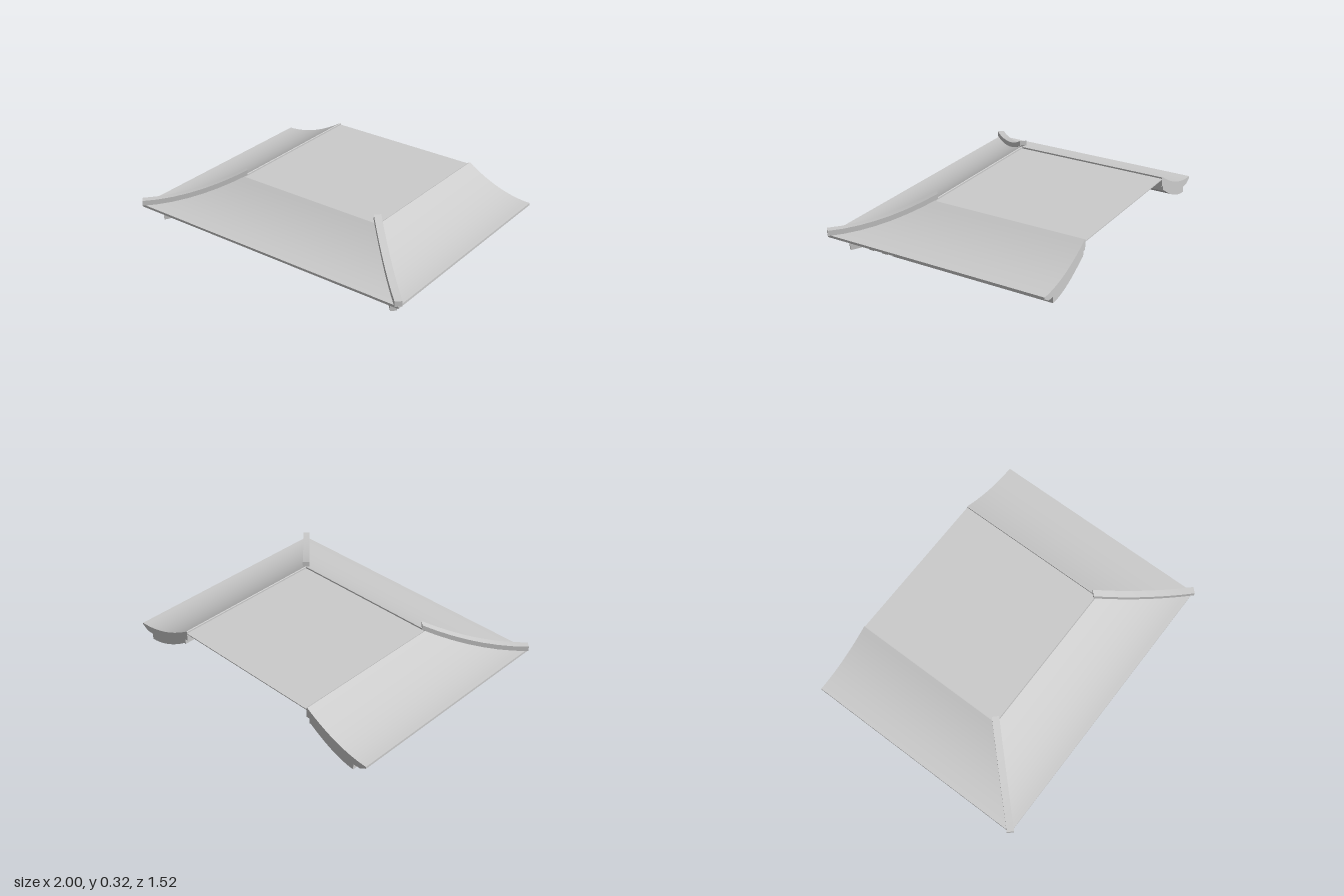
import * as THREE from 'three';
import { toCreasedNormals } from 'three/addons/utils/BufferGeometryUtils.js';

const X0 = 0.53, Z0 = 0.285, BACK = -0.763; // inner edges of the slopes, back cut
const EAVE = 0.455;                          // slope run, inner edge to eave

// heights as a function of d, the distance outward from the inner edge
const roofY = d => 0.11 + 0.158 * Math.pow(Math.max(0, EAVE - d) / EAVE, 1.9);
const bedY = d => 0.03 + 0.135 * Math.pow(Math.max(0, 0.36 - d) / 0.33, 1.7);
const hipBeamY = d => 0.235 * (0.365 - d);

const material = new THREE.MeshStandardMaterial({ color: 0xcccccc });

// points of a height curve between two distances
function curve(fn, from, to, n = 12, scale = 1) {
  const pts = [];
  for (let i = 0; i <= n; i++) {
    const d = from + (to - from) * i / n;
    pts.push(new THREE.Vector2(d * scale, fn(d)));
  }
  return pts;
}

function extrude(points, depth) {
  return new THREE.ExtrudeGeometry(new THREE.Shape(points), { depth, bevelEnabled: false });
}

function mesh(name, geometry) {
  const m = new THREE.Mesh(toCreasedNormals(geometry, 0.35), material);
  m.name = name;
  return m;
}

// one roof slope, its ends moved to start(d) and end(d) to make the mitres
function slope(name, start, end) {
  const v = (x, y) => new THREE.Vector2(x, y);
  const g = extrude([
    v(-0.006, 0.266),
    ...curve(roofY, 0, EAVE, 14),
    v(EAVE, 0.095), v(0.445, 0.093), v(0.41, 0.07),
    ...curve(d => bedY(d) + 0.04, 0.36, 0.03),
    // stepped frame around the ceiling
    v(0.03, 0.165), v(0.016, 0.165), v(0.016, 0.2), v(-0.006, 0.2),
  ], 1);
  const p = g.attributes.position;
  for (let i = 0; i < p.count; i++) {
    const d = p.getX(i);
    p.setZ(i, p.getZ(i) < 0.5 ? start(d) : end(d));
  }
  return mesh(name, g);
}

// curved rafter (or solid rafter bed) under a slope
function rafter(name, inner, width) {
  return mesh(name, extrude([
    ...curve(bedY, inner, 0.36),
    ...curve(d => bedY(d) + 0.05, 0.36, inner),
  ], width));
}

// piece following a hip, centred on the diagonal
function hipPiece(name, low, high, from, to, width) {
  const g = extrude([
    ...curve(low, from, to, 7, Math.SQRT2),
    ...curve(high, to, from, 7, Math.SQRT2),
  ], width);
  g.translate(0, 0, -width / 2);
  return mesh(name, g);
}

export function createModel() {
  const model = new THREE.Group();
  model.name = 'hippedRoof';

  // groups whose local x runs outward from the inner edge of a slope
  const frame = (name, x, z, angle) => {
    const g = new THREE.Group();
    g.name = name;
    g.position.set(x, 0, z);
    g.rotation.y = angle;
    model.add(g);
    return g;
  };
  const put = (group, part, z = 0) => {
    part.position.z = z;
    group.add(part);
  };

  // front slope
  const front = frame('frontRoof', 0, Z0, -Math.PI / 2);
  put(front, slope('frontSlope', d => -X0 - d, d => X0 + d));
  put(front, rafter('frontRafterBed', 0.03, 1.12), -0.56);

  // side slopes
  const left = frame('leftRoof', X0, 0, 0);
  put(left, slope('leftSlope', () => BACK, d => Z0 + d));
  put(left, rafter('leftRafterBed', 0.03, 0.33 - BACK), BACK);
  const right = frame('rightRoof', -X0, 0, Math.PI);
  put(right, slope('rightSlope', d => -Z0 - d, () => -BACK));
  put(right, rafter('rightRafterBed', 0.03, 0.33 - BACK), -0.33);

  // short rafters ending on the hips
  const w = 0.04;
  for (const x of [0.625, 0.72])
    for (const s of [-1, 1])
      put(front, rafter('frontJackRafter', x - X0, w), s * x - w / 2);
  for (const z of [0.388, 0.488]) {
    put(left, rafter('leftJackRafter', z - Z0, w), z - w / 2);
    put(right, rafter('rightJackRafter', z - Z0, w), -z - w / 2);
  }

  // hip ridges above and hip beams below
  for (const [side, x, angle] of [['left', X0, -Math.PI / 4], ['right', -X0, -3 * Math.PI / 4]]) {
    const hip = frame(side + 'Hip', x, Z0, angle);
    put(hip, hipPiece(side + 'HipRidge', d => roofY(d) + 0.002, d => roofY(d) + 0.036, -0.022, 0.456, 0.045));
    put(hip, hipPiece(side + 'HipBeam', hipBeamY, d => bedY(d) + 0.045 - 0.015 * d / 0.365, 0.03, 0.365, 0.04));
  }

  // flat panel inside the slopes
  const panel = new THREE.BoxGeometry(2 * X0 + 0.004, 0.006, Z0 - BACK + 0.002);
  panel.translate(0, 0.253, (Z0 + BACK) / 2 + 0.001);
  model.add(mesh('flatPanel', panel));

  return model;
}
